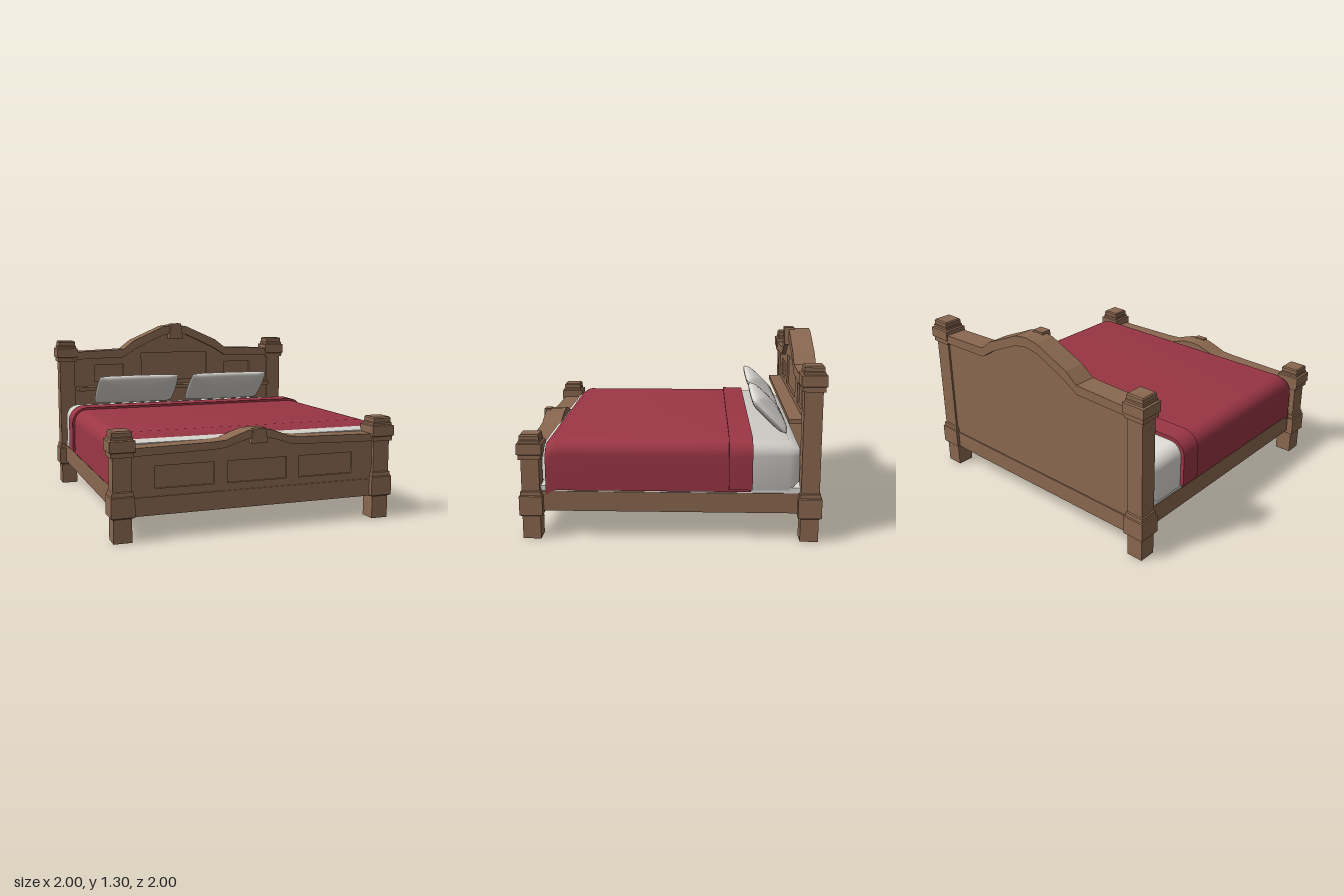
import * as THREE from 'three';
import { toCreasedNormals } from 'three/addons/utils/BufferGeometryUtils.js';

export function createModel() {
  const wood = new THREE.MeshStandardMaterial({ color: 0x8a6850 });
  const red = new THREE.MeshStandardMaterial({ color: 0x9b3645, side: THREE.DoubleSide });
  const linen = new THREE.MeshStandardMaterial({ color: 0xdcdad4 });
  wood.name = 'wood'; red.name = 'red blanket'; linen.name = 'linen';

  const root = new THREE.Group();
  root.name = 'bed';
  const add = (name, geo, mat, parent = root) => {
    const m = new THREE.Mesh(geo, mat);
    m.name = name;
    parent.add(m);
    return m;
  };
  // box given by its min and max corners
  const box = (name, x0, x1, y0, y1, z0, z1, mat, parent) => {
    const m = add(name, new THREE.BoxGeometry(x1 - x0, y1 - y0, z1 - z0), mat, parent);
    m.position.set((x0 + x1) / 2, (y0 + y1) / 2, (z0 + z1) / 2);
    return m;
  };
  const shapeOf = pts => new THREE.Shape(pts.map(p => new THREE.Vector2(p[0], p[1])));
  // flat shape pushed from z0 to z1
  const slab = (name, shape, z0, z1, parent) => {
    const g = new THREE.ExtrudeGeometry(shape, { depth: z1 - z0, bevelEnabled: false });
    add(name, g.translate(0, 0, z0), wood, parent);
  };
  // half outline (centre to +x) turned into a full one from -x to +x
  const mirror = half => [...half.slice(1).reverse().map(([x, y]) => [-x, y]), ...half];

  // Square turned posts
  function post(x, z, h) {
    const profile = [[0, 0], [0.06, 0], [0.06, 0.155], [0.077, 0.165], [0.077, 0.295], [0.07, 0.3],
      [0.068, 0.325], [0.06, 0.33], [0.06, h - 0.165], [0.074, h - 0.165], [0.074, h - 0.135],
      [0.083, h - 0.13], [0.083, h - 0.06], [0.07, h - 0.055], [0.07, h - 0.04], [0.065, h - 0.035],
      [0.065, h - 0.01], [0.058, h], [0, h]];
    const pts = profile.map(([r, y]) => new THREE.Vector2(r * Math.SQRT2, y));
    const g = new THREE.LatheGeometry(pts, 4).rotateY(Math.PI / 4).toNonIndexed();
    g.computeVertexNormals();
    add('post', g, wood).position.set(x, 0, z);
  }
  for (const s of [-1, 1]) {
    post(s * 0.916, 0.915, 0.71);
    post(s * 0.916, -0.915, 1.17);
    const a = s * 0.885, b = s * 0.945;
    box('sideRail', Math.min(a, b), Math.max(a, b), 0.185, 0.32, -0.86, 0.86, wood);
  }

  // Panelled board with a curved top rail, a bottom rail and a keystone
  function endBoard(name, o) {
    const g = new THREE.Group();
    g.name = name;
    root.add(g);
    const top = mirror(o.top), low = mirror(o.low);
    const outline = [[-0.87, 0.17], [0.87, 0.17], ...low.map(([x, y]) => [x, y + 0.02]).reverse()];
    const face = shapeOf(outline);
    for (const [x0, x1, y0, y1] of o.panels) {
      face.holes.push(new THREE.Path([[x0, y0], [x0, y1], [x1, y1], [x1, y0]]
        .map(p => new THREE.Vector2(...p))));
    }
    slab('backing', shapeOf(outline), o.back, o.front - 0.015, g);
    slab('panelFrame', face, o.front - 0.015, o.front, g);
    slab('topRail', shapeOf([...low, ...top.reverse()]), o.rail[0], o.rail[1], g);
    box('bottomRail', -0.87, 0.87, 0.16, 0.28, o.back - 0.008, o.front + 0.008, wood, g);
    const [k0, k1, kz] = o.key;
    slab('keystone', shapeOf([[-0.06, k0], [0.06, k0], [0.042, k1], [-0.042, k1]]), o.front - 0.01, kz, g);
    return g;
  }
  const head = endBoard('headboard', {
    top: [[0, 1.295], [0.1, 1.28], [0.2, 1.235], [0.36, 1.165], [0.45, 1.095], [0.87, 1.08]],
    low: [[0, 1.225], [0.1, 1.21], [0.2, 1.165], [0.34, 1.1], [0.45, 1.03], [0.87, 1.02]],
    panels: [[-0.69, -0.45, 0.83, 0.97], [-0.29, 0.29, 0.83, 1.06], [0.45, 0.69, 0.83, 0.97]],
    back: -0.962, front: -0.87, rail: [-0.992, -0.84], key: [1.18, 1.305, -0.81],
  });
  box('ledge', -0.84, 0.84, 0.765, 0.795, -0.88, -0.775, wood, head);
  endBoard('footboard', {
    top: [[0, 0.675], [0.08, 0.668], [0.15, 0.645], [0.23, 0.615], [0.32, 0.608], [0.87, 0.597]],
    low: [[0, 0.618], [0.08, 0.612], [0.15, 0.592], [0.23, 0.565], [0.32, 0.558], [0.87, 0.545]],
    panels: [[-0.7, -0.3, 0.33, 0.475], [-0.21, 0.21, 0.33, 0.475], [0.3, 0.7, 0.33, 0.475]],
    back: 0.865, front: 0.952, rail: [0.832, 0.972], key: [0.585, 0.68, 0.988],
  });

  // Arch-like section with rounded shoulders, from +x foot over to -x foot
  function section(w, y0, y1, r) {
    const half = [];
    for (let i = 0; i <= 8; i++) {
      const a = (i / 8) * Math.PI / 2;
      half.push([w - r + r * Math.cos(a), y1 - r + r * Math.sin(a)]);
    }
    const right = [[w, y0], ...half];
    return [...right, ...right.map(([x, y]) => [-x, y]).reverse()];
  }

  // Mattress with softened ends, on a flat base
  const mattress = new THREE.ExtrudeGeometry(shapeOf(section(0.943, 0.34, 0.657, 0.09)), {
    depth: 1.56, bevelThickness: 0.07, bevelSize: 0.05, bevelOffset: -0.05, bevelSegments: 1,
  });
  add('mattress', toCreasedNormals(mattress.translate(0, 0, -0.78), 0.9), linen);
  box('mattressBase', -0.938, 0.938, 0.3, 0.357, -0.86, 0.86, linen);

  // Cloth draped along z; each station is [z, growth, drop]
  function drape(name, y0, stations) {
    const pos = [], index = [];
    let n = 0;
    stations.forEach(([z, grow, drop], i) => {
      const s = section(0.953 + grow, y0, 0.667 + grow, 0.1 + grow);
      n = s.length;
      s.forEach(([x, y]) => pos.push(x, y - drop, z));
      if (!i) return;
      for (let j = 0; j < n - 1; j++) {
        const a = (i - 1) * n + j, c = a + n;
        index.push(a, a + 1, c, a + 1, c + 1, c);
      }
    });
    const g = new THREE.BufferGeometry();
    g.setAttribute('position', new THREE.Float32BufferAttribute(pos, 3));
    g.setIndex(index);
    add(name, toCreasedNormals(g, 0.8), red);
  }
  drape('blanket', 0.33, [[-0.53, 0, 0], [0.75, 0, 0], [0.775, 0, 0.006], [0.82, 0, 0.037]]);
  drape('blanketFold', 0.348, [[-0.54, -0.015, 0], [-0.54, 0.016, 0], [-0.385, 0.016, 0], [-0.385, -0.005, 0]]);

  // Plump pillows leaning forward
  for (const s of [-1, 1]) {
    const g = new THREE.SphereGeometry(1, 48, 32);
    const p = g.attributes.position;
    for (let i = 0; i < p.count; i++) {
      // spread the disc of the sphere out to a square, thin at the seam
      const x = p.getX(i), y = p.getY(i), z = p.getZ(i);
      const k = Math.hypot(x, y) / Math.max(Math.abs(x), Math.abs(y), 1e-6);
      const soft = 1 + (Math.min(k, Math.SQRT2) - 1) * 0.9;
      p.setXYZ(i, x * soft * 0.335, y * soft * 0.162, z * 0.055);
    }
    g.computeVertexNormals();
    const m = add('pillow', g, linen);
    m.position.set(s * 0.388, 0.782, -0.665);
    m.rotation.x = Math.PI / 4;
  }
  return root;
}
